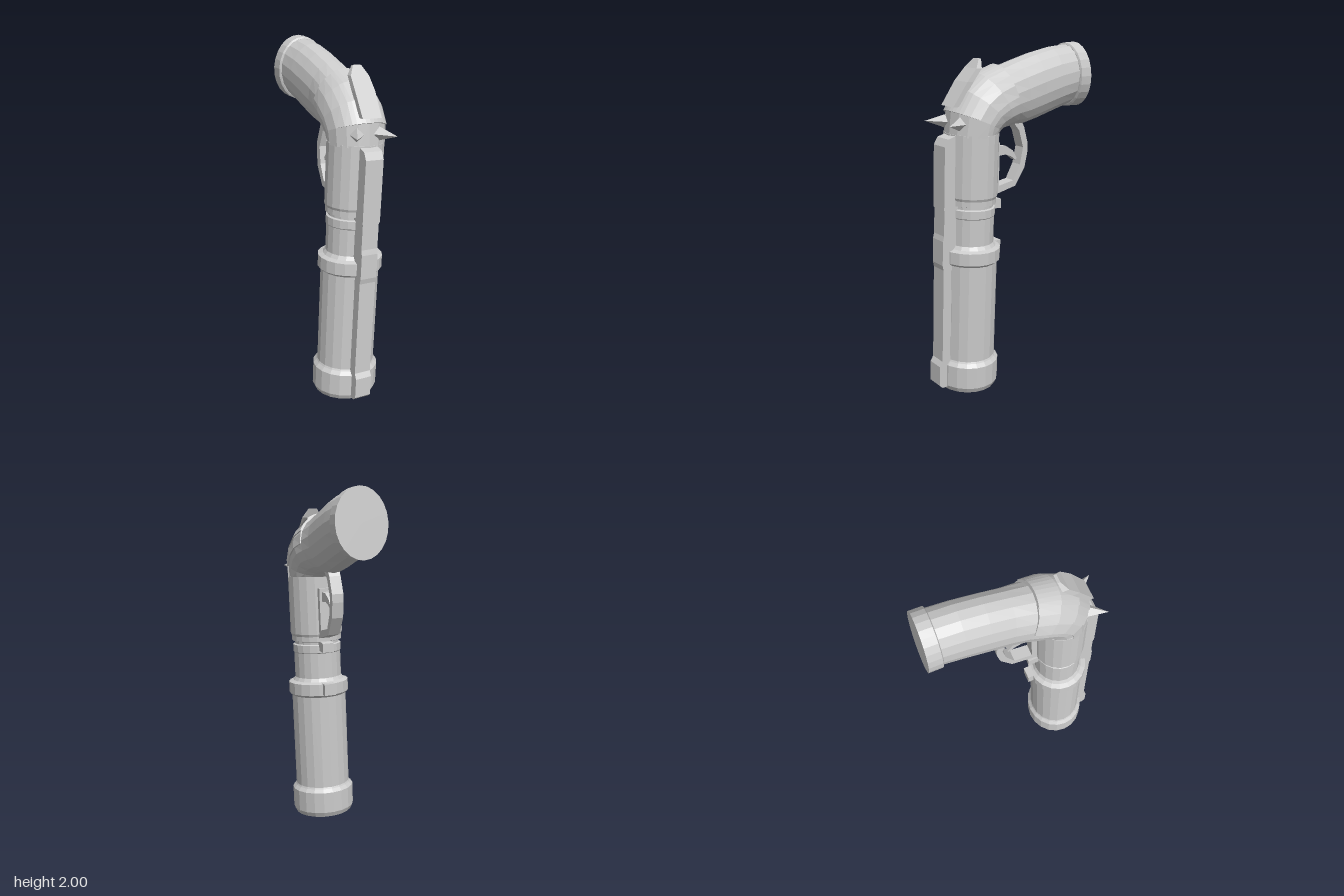
import * as THREE from 'three';

const mat = new THREE.MeshStandardMaterial({ color: 0xcccccc, flatShading: true });
const matOpen = new THREE.MeshStandardMaterial({ color: 0xcccccc, flatShading: true, side: THREE.DoubleSide });
const Z = z => (z - 0.27) / 0.98; // depth measured from the barrel axis

// Closed skin over rings of equal point count, with fan caps
function loft(rings) {
  const n = rings[0].length, pos = rings.flat(2), idx = [];
  for (let i = 0; i < rings.length - 1; i++)
    for (let j = 0; j < n; j++) {
      const a = i * n + j, b = i * n + (j + 1) % n;
      idx.push(a, b, b + n, a, b + n, a + n);
    }
  [0, rings.length - 1].forEach((r, end) => {
    const c = pos.length / 3;
    for (let k = 0; k < 3; k++) pos.push(rings[r].reduce((s, p) => s + p[k], 0) / n);
    for (let j = 0; j < n; j++) {
      const a = r * n + j, b = r * n + (j + 1) % n;
      if (end) idx.push(c, a, b); else idx.push(c, b, a);
    }
  });
  const g = new THREE.BufferGeometry();
  g.setAttribute('position', new THREE.Float32BufferAttribute(pos, 3));
  g.setIndex(idx);
  g.computeVertexNormals();
  return g;
}

// Elliptic section between an upper/front and a lower/back point; half = arc half-angle
function section([z0, y0, z1, y1, w], scale = 1, half = Math.PI, n = 18) {
  const full = half === Math.PI, ring = [];
  const cz = (z0 + z1) / 2, cy = (y0 + y1) / 2;
  for (let j = 0; j < n; j++) {
    const a = -half + 2 * half * j / (full ? n : n - 1);
    const c = Math.cos(a) * scale;
    ring.push([w * scale * Math.sin(a), cy + (y0 - cy) * c, Z(cz + (z0 - cz) * c)]);
  }
  return ring;
}

// Side outline [z, y] extruded across the width
function sidePlate(points, width) {
  const s = new THREE.Shape(points.map(([z, y]) => new THREE.Vector2(Z(z), y)));
  return new THREE.ExtrudeGeometry(s, { depth: width, bevelEnabled: false })
    .translate(0, 0, -width / 2).rotateY(-Math.PI / 2);
}

export function createModel() {
  const root = new THREE.Group();
  const body = new THREE.Group();
  body.name = 'pistol';
  body.rotation.set(0, -0.19, -0.045, 'ZYX');
  body.position.set(-0.085, 0.008, 0.27);
  root.add(body);
  const add = (name, geo, m = mat) => {
    const mesh = new THREE.Mesh(geo, m);
    mesh.name = name;
    body.add(mesh);
    return mesh;
  };

  // Barrel with bore, muzzle ring, collar, neck and receiver
  const profile = [[0, 0.7], [0.145, 0.7], [0.15, 0.02], [0.16, 0], [0.168, 0], [0.182, 0.03], [0.182, 0.16],
    [0.165, 0.18], [0.16, 0.19], [0.16, 0.77], [0.176, 0.785], [0.176, 0.855], [0.15, 0.865], [0.137, 0.885],
    [0.137, 1.04], [0.141, 1.045], [0.141, 1.09], [0.13, 1.095], [0.13, 1.11], [0.146, 1.115], [0.146, 1.145],
    [0.152, 1.16], [0.152, 1.51], [0, 1.515]];
  add('barrel', new THREE.LatheGeometry(profile.map(p => new THREE.Vector2(...p)), 20), matOpen).scale.x = 1.06;

  // Bent head running into the grip: [front z, y, back z, y, half width]
  const bend = [[0.415, 1.5, 0.125, 1.5, 0.162], [0.405, 1.63, 0.11, 1.51, 0.168], [0.34, 1.74, 0.08, 1.52, 0.17],
    [0.24, 1.82, 0.04, 1.525, 0.167], [0.12, 1.865, 0, 1.53, 0.153]];
  const grip = [[0, 1.9, -0.06, 1.535, 0.138], [-0.13, 1.94, -0.16, 1.56, 0.137],
    [-0.26, 1.97, -0.29, 1.6, 0.137], [-0.39, 1.985, -0.41, 1.635, 0.137]];
  add('grip', loft([...bend.map(s => section(s, 0.97)), ...grip.map(s => section(s))]));
  add('buttCap', loft([[-0.385, 1.985, -0.405, 1.63, 0.14], [-0.39, 1.995, -0.41, 1.62, 0.15],
    [-0.46, 2.0, -0.488, 1.62, 0.15]].map(s => section(s, 1, Math.PI, 24))));

  // Layered armour plates over the bend
  [[1.01, 1.5, 0], [1.045, 1.05, 1], [1.08, 0.55, 1]].forEach(([scale, half, from], i) =>
    add('headPlate' + (i + 1), loft(bend.slice(from).map(s => section(s, scale, half, 9)))));

  // Raised tapering crest plate
  const crest = [[0.43, 0.395, 1.66, 0.057], [0.345, 0.305, 1.79, 0.06], [0.285, 0.25, 1.86, 0.055], [0.25, 0.235, 1.91, 0.025]];
  add('crest', loft(crest.map(([z0, z1, y, w]) =>
    [[-w, y, Z(z1)], [-w, y, Z(z0)], [w, y, Z(z0)], [w, y, Z(z1)]])));

  // Pair of four-sided spikes
  for (const side of [-1, 1]) {
    const a = side * 0.49;
    const spike = add(side > 0 ? 'leftSpike' : 'rightSpike',
      new THREE.ConeGeometry(0.04, 0.12, 4).rotateX(Math.PI / 2));
    spike.position.set(Math.sin(a) * 0.198, 1.57, Math.cos(a) * 0.198);
    spike.rotation.y = a;
  }

  // Rib along the front of the barrel
  add('lowerRib', sidePlate([[0.36, 0.02], [0.47, 0.02], [0.49, 0.04], [0.49, 0.16], [0.473, 0.19], [0.473, 0.75],
    [0.48, 0.78], [0.48, 0.92], [0.473, 0.95], [0.473, 1.11], [0.36, 1.11]], 0.1));
  add('upperRib', sidePlate([[0.36, 1.1], [0.477, 1.1], [0.477, 1.45], [0.455, 1.49], [0.41, 1.505], [0.36, 1.505]], 0.108));

  // Trigger guard, trigger and its mount
  add('triggerGuard', sidePlate([[0.05, 1.57], [-0.03, 1.6], [-0.075, 1.52], [-0.107, 1.42], [-0.107, 1.37],
    [-0.09, 1.28], [-0.025, 1.175], [0.14, 1.135], [0.14, 1.18], [-0.01, 1.21], [-0.055, 1.3],
    [-0.073, 1.4], [-0.04, 1.5], [0, 1.545]], 0.07));
  add('triggerMount', sidePlate([[0.16, 1.15], [0.095, 1.15], [0.095, 1.44], [0.16, 1.44]], 0.07));
  add('trigger', sidePlate([[0.11, 1.42], [0.04, 1.415], [-0.01, 1.385], [-0.04, 1.34], [-0.035, 1.325],
    [0, 1.35], [0.04, 1.365], [0.11, 1.36]], 0.04));

  // Lugs on the back of the neck and collar
  add('upperLug', sidePlate([[0.17, 1.06], [0.075, 1.055], [0.075, 1.11], [0.1, 1.115], [0.17, 1.115]], 0.07));
  add('lowerLug', sidePlate([[0.17, 0.79], [0.07, 0.79], [0.07, 0.86], [0.17, 0.86]], 0.07));

  return root;
}
